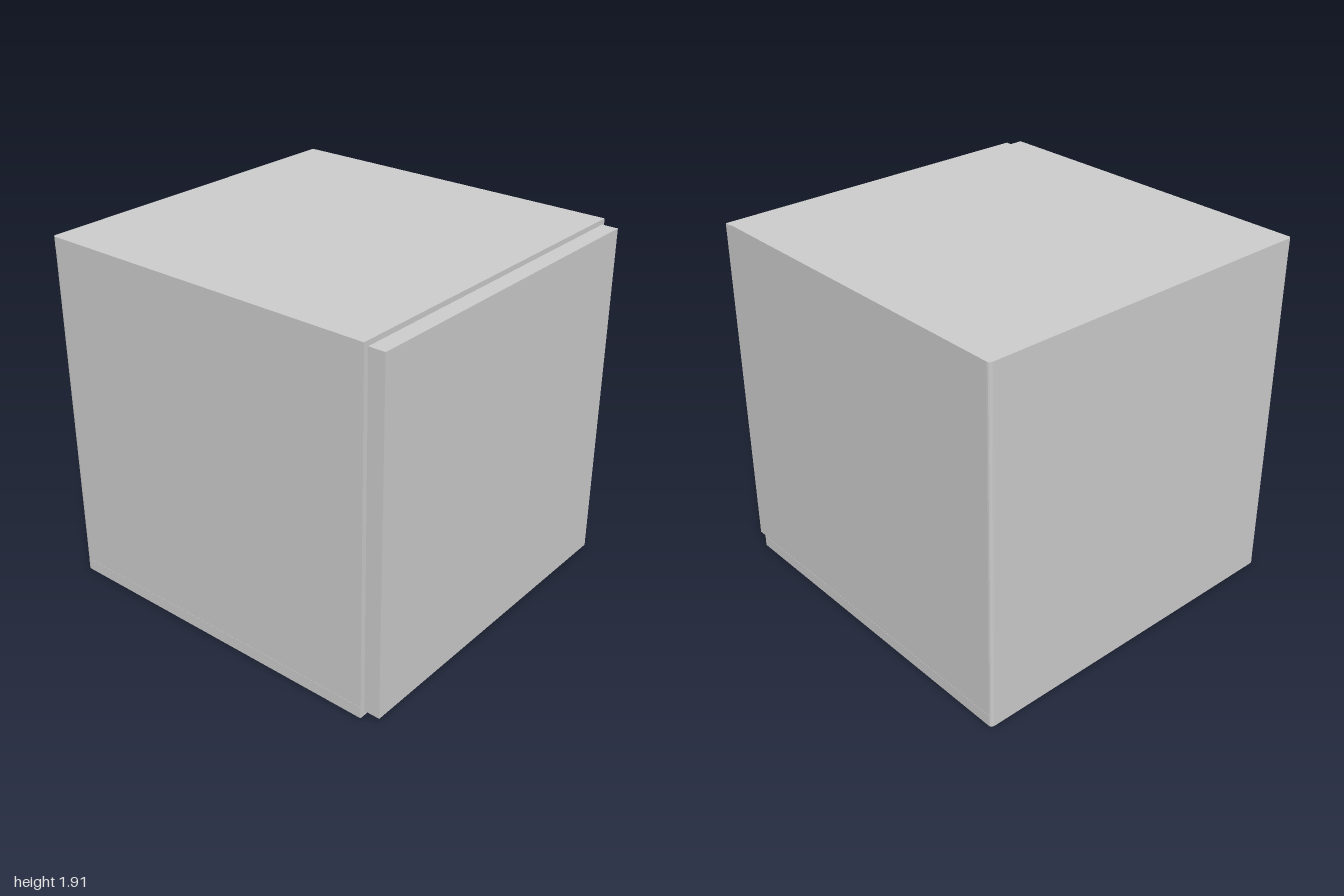
import * as THREE from 'three';

const BACK = -1, FRONT = 0.91, HALF = 0.955, HEIGHT = 1.915, SLAB = 0.063, WALL = 0.06, R = 0.02;

export function createModel() {
  const group = new THREE.Group();
  const material = new THREE.MeshStandardMaterial({ color: 0xcccccc, flatShading: true });

  function add(name, geometry, x, y, z) {
    const mesh = new THREE.Mesh(geometry, material);
    mesh.name = name;
    mesh.position.set(x, y, z);
    group.add(mesh);
  }

  // Plan outline with softly rounded rear corners; a hollow one is open at the door
  function plan(half, hollow) {
    const s = new THREE.Shape();
    s.moveTo(FRONT, -half);
    s.lineTo(FRONT, half);
    if (hollow) {
      s.moveTo(FRONT, half - WALL);
      s.lineTo(FRONT, half);
    }
    s.lineTo(BACK + R, half);
    s.quadraticCurveTo(BACK, half, BACK, half - R);
    s.lineTo(BACK, -half + R);
    s.quadraticCurveTo(BACK, -half, BACK + R, -half);
    s.lineTo(FRONT, -half);
    if (hollow) {
      s.curves.shift();
      s.lineTo(FRONT, -half + WALL);
      s.lineTo(BACK + WALL, -half + WALL);
      s.lineTo(BACK + WALL, half - WALL);
      s.lineTo(FRONT, half - WALL);
    }
    return s;
  }

  function extrudeUp(shape, height) {
    return new THREE.ExtrudeGeometry(shape, { depth: height, bevelEnabled: false, curveSegments: 4 })
      .rotateX(-Math.PI / 2);
  }

  // Bottom and top panels
  add('bottomPanel', extrudeUp(plan(HALF, false), SLAB), 0, 0, 0);
  add('topPanel', extrudeUp(plan(HALF, false), SLAB), 0, HEIGHT - SLAB, 0);

  // Side and rear walls, one U-shaped shell between the panels
  add('walls', extrudeUp(plan(HALF - 0.001, true), HEIGHT - 2 * SLAB), 0, SLAB, 0);

  // Slightly smaller door closing the open side
  add('door', new THREE.BoxGeometry(0.088, 1.86, 1.86), 0.956, 0.96, 0);

  return group;
}
